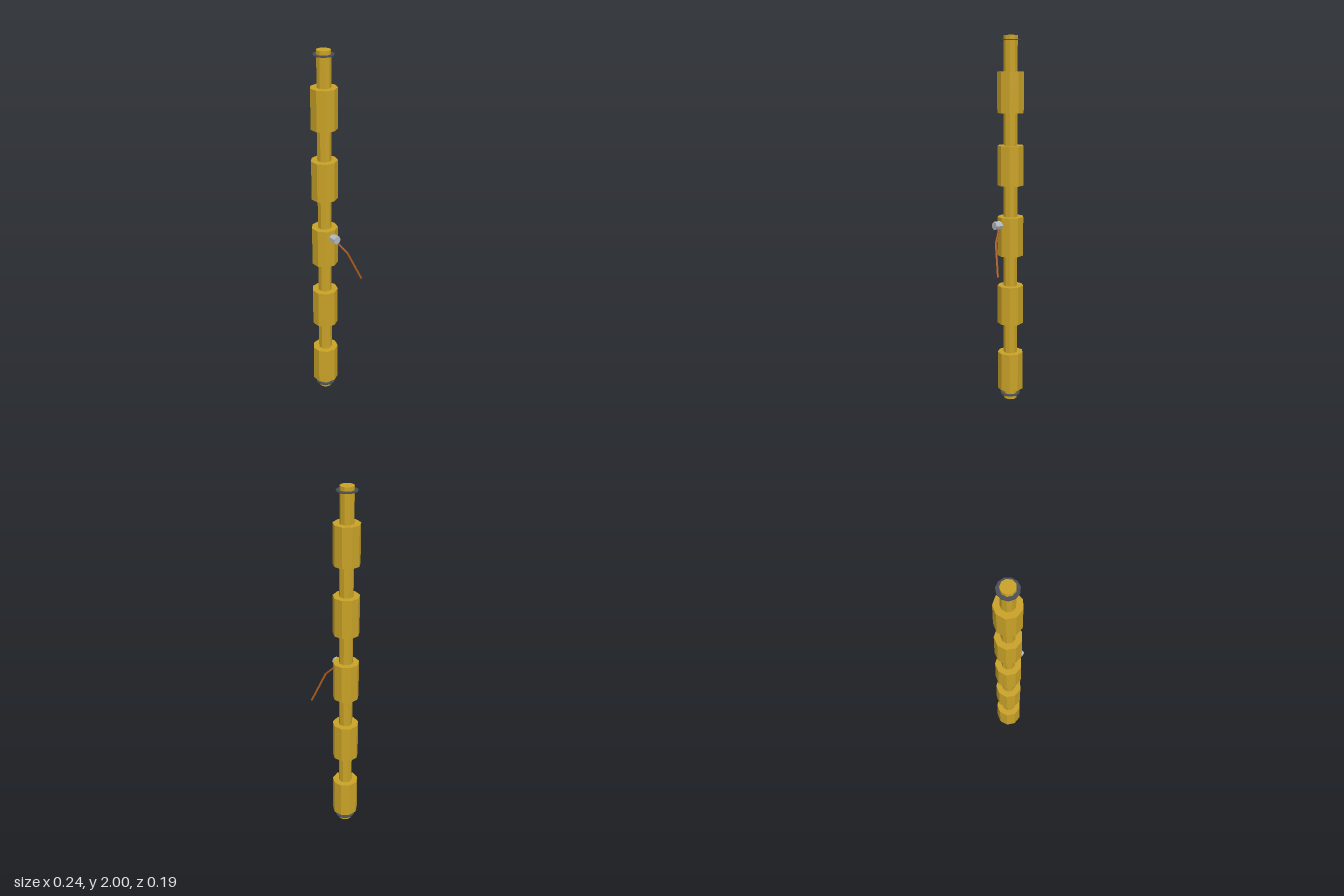
import * as THREE from 'three';

const AXIS_X = -0.052, AXIS_Z = 0.026;

const mat = (name, color) => {
  const m = new THREE.MeshStandardMaterial({ color, flatShading: true });
  m.name = name;
  return m;
};

export function createModel() {
  const gold = mat('gold', 0xc9a227);
  const darkGrey = mat('dark grey', 0x4a4e57);
  const silver = mat('silver', 0xb4babf);
  const copper = mat('copper', 0xa85a1e);
  copper.side = THREE.DoubleSide;

  const model = new THREE.Group();
  model.name = 'segmentedTube';

  const add = (name, geometry, material, x, y, z) => {
    const mesh = new THREE.Mesh(geometry, material);
    mesh.name = name;
    mesh.position.set(x, y, z);
    model.add(mesh);
  };
  // Upright prism with one corner pointing to the back
  const prism = (radius, height, sides) =>
    new THREE.CylinderGeometry(radius, radius, height, sides).rotateY(Math.PI);

  // Central rod
  add('rod', prism(0.0375, 2, 9), gold, AXIS_X, 1, AXIS_Z);

  // Five evenly spaced thick sections
  for (let i = 0; i < 5; i++) {
    add(`section${i + 1}`, prism(0.071, 0.214, 9), gold, AXIS_X, 0.166 + i * 0.385, AXIS_Z);
  }

  // Thin collars near both ends
  add('bottomCollar', prism(0.055, 0.006, 11), darkGrey, AXIS_X, 0.027, AXIS_Z);
  add('topCollar', prism(0.055, 0.006, 11), darkGrey, AXIS_X, 1.976, AXIS_Z);

  // Side fitting, lying along x and sunk into the middle section
  add('sideFitting', prism(0.023, 0.06, 7).rotateZ(Math.PI / 2), silver, 0.025, 1.002, AXIS_Z);

  // Bent wire hanging from the fitting
  const path = new THREE.QuadraticBezierCurve3(
    new THREE.Vector3(0.018, 1.0, 0.026),
    new THREE.Vector3(0.0935, 0.96, -0.014),
    new THREE.Vector3(0.115, 0.753, -0.094));
  path.getPointAt = (u, target) => path.getPoint(u, target);
  add('wire', new THREE.TubeGeometry(path, 2, 0.006, 5), copper, 0, 0, 0);

  return model;
}
